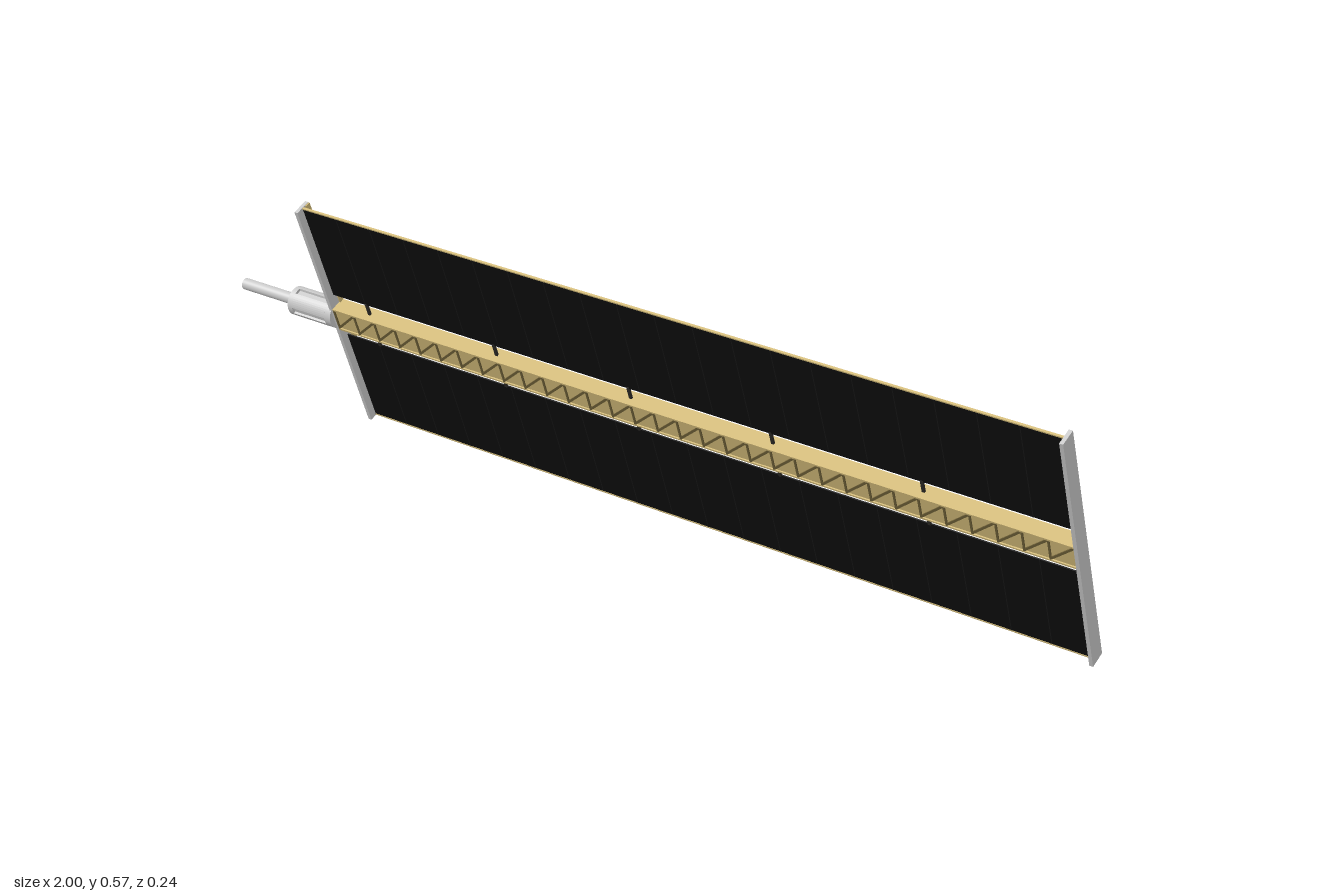
import * as THREE from 'three';

const mat = (color) => new THREE.MeshStandardMaterial({ color });

export function createModel() {
  const model = new THREE.Group();
  const wing = new THREE.Group();
  wing.name = 'solarWing';
  wing.position.y = 0.286;
  wing.rotation.x = THREE.MathUtils.degToRad(19.8);
  model.add(wing);

  const grey = mat(0xcccccc), black = mat(0x0e0e0e), gold = mat(0xd2ba78);
  const darkGold = mat(0x6e6038), dark = mat(0x2c2a26), seamMat = mat(0x171717), lavender = mat(0xb4b8de);

  const add = (name, geometry, material, x, y, z, parent = wing) => {
    const mesh = new THREE.Mesh(geometry, material);
    mesh.name = name;
    mesh.position.set(x, y, z);
    parent.add(mesh);
    return mesh;
  };
  const box = (name, material, w, h, d, x, y, z, parent) =>
    add(name, new THREE.BoxGeometry(w, h, d), material, x, y, z, parent);

  const x0 = -0.736, x1 = 0.99, length = x1 - x0, mid = (x0 + x1) / 2;
  const inner = 0.057, outer = 0.294;

  // End plates, with a gold lid on the root plate's rear edge
  box('rootPlate', grey, 0.008, 0.595, 0.037, x0 - 0.004, 0, 0);
  box('tipPlate', grey, 0.008, 0.595, 0.037, x1 + 0.004, 0, 0);
  box('rootLid', gold, 0.008, 0.593, 0.012, x0 - 0.001, 0, -0.0128);

  // Two blankets with fold seams and gold outer edges
  for (const side of [1, -1]) {
    const blanket = new THREE.Group();
    blanket.name = side > 0 ? 'upperBlanket' : 'lowerBlanket';
    wing.add(blanket);
    const y = side * (inner + outer) / 2, h = outer - inner;
    box('blanketSheet', black, length, h, 0.003, mid, y, 0, blanket);
    box('blanketEdge', gold, length, 0.003, 0.005, mid, side * (outer + 0.001), 0, blanket);
    const folds = 20;
    for (let i = 1; i < folds; i++)
      box('foldSeam', seamMat, 0.002, h, 0.0036, x0 + length * i / folds, y, 0, blanket);
  }

  // Pale radiator strips on the back of the upper blanket
  for (const x of [0.65, 0.69])
    box('paleStrip', lavender, 0.038, outer - inner, 0.002, x, (inner + outer) / 2, -0.002);

  // Mast: solid core and top and bottom plates, lattice on front and back
  const mast = new THREE.Group();
  mast.name = 'mast';
  wing.add(mast);
  const mh = 0.029, md = 0.018;
  box('mastCore', gold, length, 2 * mh - 0.004, 2 * md - 0.006, mid, 0, 0, mast);
  for (const s of [1, -1]) box('mastPlate', gold, length, 0.004, 2 * md, mid, s * (mh - 0.002), 0, mast);
  const bays = 32, bay = length / bays, rise = 2 * mh - 0.008;
  const postGeo = new THREE.BoxGeometry(0.004, rise, 0.003);
  const braceGeo = new THREE.BoxGeometry(0.005, Math.hypot(bay, rise) - 0.004, 0.003);
  for (const face of [1, -1]) {
    for (let i = 0; i < bays; i++) {
      const x = x0 + bay * i, z = face * (md - 0.0017);
      add('latticePost', postGeo, darkGold, x + 0.002, 0, z, mast);
      add('latticeBrace', braceGeo, darkGold, x + bay / 2, 0, z, mast).rotation.z = -Math.atan2(bay, rise);
    }
  }

  // Ties joining mast and blankets
  for (let i = 0; i < 5; i++)
    for (const s of [1, -1])
      box('tie', dark, 0.006, inner - mh + 0.006, 0.005, -0.648 + 0.33 * i, s * (inner + mh) / 2, 0);

  // Root hub: a drum with four long slots between two collars
  const hub = new THREE.Group();
  hub.name = 'rootHub';
  wing.add(hub);
  const R = 0.031, slot = 0.25, depth = 0.026;
  const profile = new THREE.Shape();
  for (let q = 0; q < 4; q++) {
    const a = q * Math.PI / 2;
    for (const [r, t] of [[depth, a - slot], [depth, a + slot]])
      profile[q === 0 && t < a ? 'moveTo' : 'lineTo'](r * Math.cos(t), r * Math.sin(t));
    for (let k = 0; k <= 8; k++) {
      const t = a + slot + (Math.PI / 2 - 2 * slot) * k / 8;
      profile.lineTo(R * Math.cos(t), R * Math.sin(t));
    }
  }
  profile.closePath();
  const drum = new THREE.ExtrudeGeometry(profile, { depth: 0.09, bevelEnabled: false });
  drum.rotateY(Math.PI / 2);
  add('slottedDrum', drum, grey, -0.845, 0, 0, hub);
  const rod = (name, r, a, b) =>
    add(name, new THREE.CylinderGeometry(r, r, b - a, 32).rotateZ(Math.PI / 2), grey, (a + b) / 2, 0, 0, hub);
  rod('outerCollar', R, -0.856, -0.844);
  rod('innerCollar', R, -0.756, -0.74);
  rod('spindle', 0.0125, -1, -0.855);

  return model;
}
